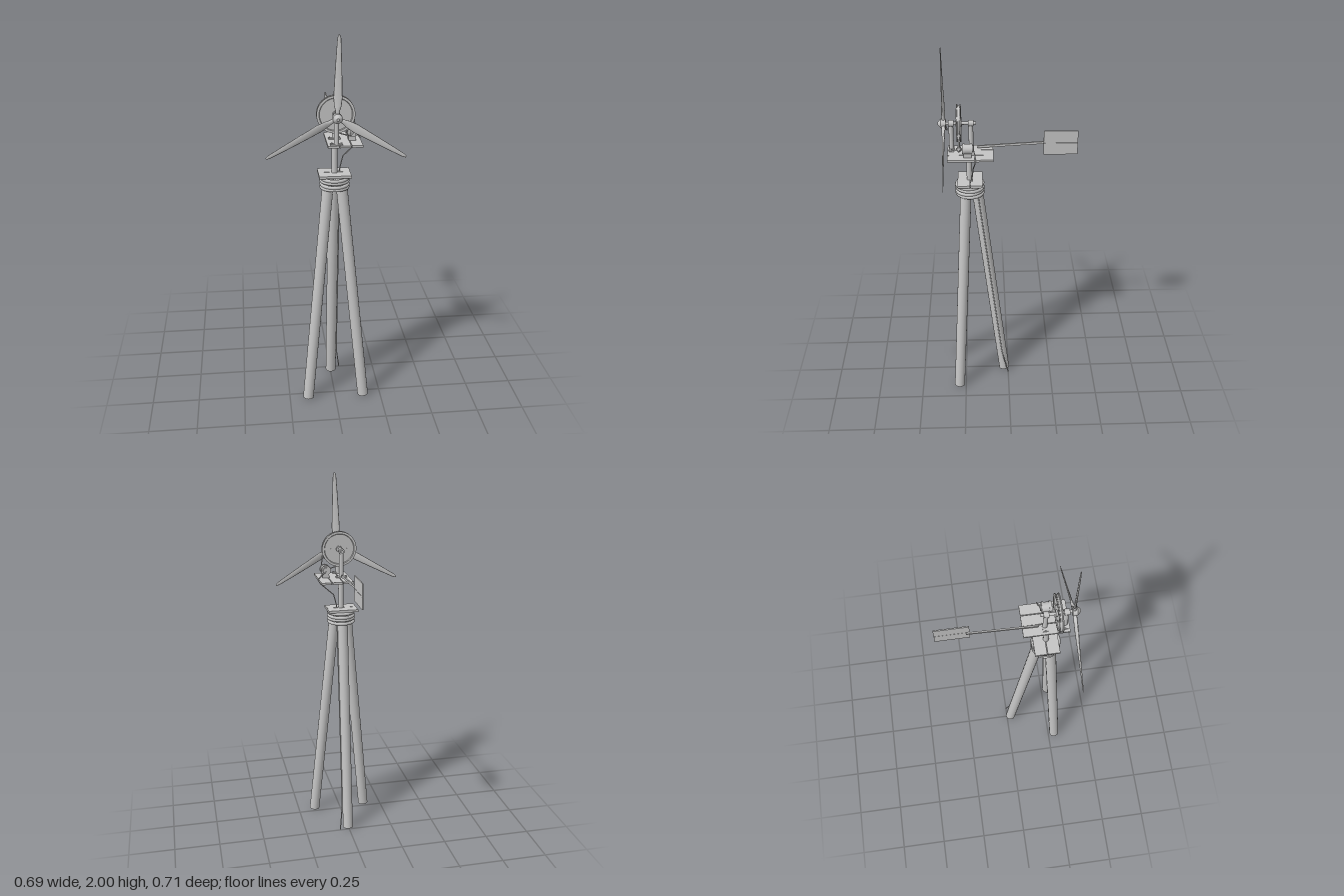
import * as THREE from 'three';

const V = (x, y, z) => new THREE.Vector3(x, y, z);
const CX = 0.003, AXLE = 1.605, MAST_Z = 0.2;

export function createModel() {
  const model = new THREE.Group();
  model.name = 'windTurbine';
  const grey = new THREE.MeshStandardMaterial({ color: 0xc4c4c4 });
  grey.name = 'lightGrey';

  const add = (name, geometry, x = 0, y = 0, z = 0, parent = model) => {
    const mesh = new THREE.Mesh(geometry, grey);
    mesh.name = name;
    mesh.position.set(x, y, z);
    parent.add(mesh);
    return mesh;
  };
  // Box given by its minimum and maximum on each axis
  const box = (name, x0, x1, y0, y1, z0, z1) =>
    add(name, new THREE.BoxGeometry(x1 - x0, y1 - y0, z1 - z0), (x0 + x1) / 2, (y0 + y1) / 2, (z0 + z1) / 2);
  // Cylinder between two points
  const rod = (name, a, b, r, sides = 16, rEnd = r) => {
    const d = b.clone().sub(a);
    const mesh = add(name, new THREE.CylinderGeometry(rEnd, r, d.length(), sides));
    mesh.position.copy(a).addScaledVector(d, 0.5);
    mesh.quaternion.setFromUnitVectors(V(0, 1, 0), d.normalize());
    return mesh;
  };
  // Cable through a few points
  const cable = (name, points) => {
    const path = new THREE.CurvePath();
    for (let i = 1; i < points.length; i++) path.add(new THREE.LineCurve3(points[i - 1], points[i]));
    return add(name, new THREE.TubeGeometry(path, 48, 0.003, 6));
  };

  // Tripod of poles, lashed together with rope
  rod('leftLeg', V(0.154, 0.004, 0.287), V(0.032, 1.275, 0.218), 0.029);
  rod('rightLeg', V(-0.149, 0.004, 0.287), V(-0.028, 1.275, 0.218), 0.029);
  rod('backLeg', V(CX, 0.003, 0.023), V(CX, 1.275, 0.167), 0.029);
  for (let i = 0; i < 4; i++) {
    const ring = add('ropeRing', new THREE.TorusGeometry(0.068, 0.009, 8, 28), CX, 1.213 + i * 0.017, MAST_Z);
    ring.rotation.x = Math.PI / 2 + (i % 2 ? 0.03 : -0.03);
  }

  // Lower deck of two planks and the mast
  box('lowerPlankBack', -0.08, 0.083, 1.275, 1.288, 0.133, 0.195);
  box('lowerPlankFront', -0.08, 0.083, 1.275, 1.288, 0.198, 0.262);
  rod('mast', V(CX, 1.285, MAST_Z), V(CX, 1.45, MAST_Z), 0.0145);
  rod('mastCollar', V(CX, 1.428, MAST_Z), V(CX, 1.451, MAST_Z), 0.021);

  // Upper deck of three planks
  for (const x of [-0.041, 0.018, 0.077]) box('upperPlank', x, x + 0.055, 1.45, 1.461, 0.075, 0.308);

  // Shaft on two bearing posts
  rod('shaft', V(CX, AXLE, 0.16), V(CX, AXLE, 0.32), 0.008, 14);
  for (const z of [0.187, 0.287]) {
    box('postFoot', CX - 0.03, CX + 0.03, 1.461, 1.467, z - 0.013, z + 0.013);
    rod('bearingPost', V(CX, 1.461, z), V(CX, AXLE, z), 0.012);
    rod('bearing', V(CX, AXLE, z - 0.0135), V(CX, AXLE, z + 0.0135), 0.016);
    for (const s of [-1, 1]) rod('footBolt', V(CX + s * 0.024, 1.466, z), V(CX + s * 0.024, 1.472, z), 0.004, 6);
  }

  // Grooved drive wheel
  const wheelProfile = [[0, -0.006], [0.08, -0.006], [0.083, -0.011], [0.095, -0.011], [0.095, -0.006], [0.087, -0.004],
    [0.087, 0.004], [0.095, 0.006], [0.095, 0.011], [0.083, 0.011], [0.08, 0.006], [0, 0.006]]
    .map(([r, h]) => new THREE.Vector2(r, h));
  const wheelGeometry = new THREE.LatheGeometry(wheelProfile, 48).toNonIndexed();
  wheelGeometry.computeVertexNormals();
  add('driveWheel', wheelGeometry, CX, AXLE, 0.247).rotation.x = Math.PI / 2;
  rod('wheelHub', V(CX, AXLE, 0.232), V(CX, AXLE, 0.262), 0.017);
  for (let i = 0; i < 6; i++) {
    const a = i * Math.PI / 3, x = CX + 0.045 * Math.cos(a), y = AXLE + 0.045 * Math.sin(a);
    rod('wheelBolt', V(x, y, 0.239), V(x, y, 0.255), 0.004, 8);
  }

  // Generator with its pulley, feet and cooling bands
  const GX = 0.088, GY = 1.503;
  rod('generator', V(GX, GY, 0.18), V(GX, GY, 0.232), 0.024, 20);
  for (const z of [0.187, 0.224]) rod('generatorBand', V(GX, GY, z - 0.005), V(GX, GY, z + 0.005), 0.027, 20);
  rod('generatorCap', V(GX, GY, 0.174), V(GX, GY, 0.181), 0.017, 20);
  rod('generatorShaft', V(GX, GY, 0.23), V(GX, GY, 0.262), 0.005, 10);
  rod('generatorPulley', V(GX, GY, 0.238), V(GX, GY, 0.256), 0.012, 18);
  box('generatorMount', GX - 0.018, GX + 0.018, 1.461, 1.484, 0.185, 0.226);

  // Drive belt: outer tangents around wheel and pulley
  const dx = GX - CX, dy = GY - AXLE, theta = Math.atan2(dy, dx);
  const outline = (R, r) => {
    const a = Math.acos((R - r) / Math.hypot(dx, dy));
    const path = new THREE.Shape();
    path.absarc(0, 0, R, theta + a, theta + 2 * Math.PI - a, false);
    path.absarc(dx, dy, r, theta - a, theta + a, false);
    path.closePath();
    return path;
  };
  const belt = outline(0.091, 0.016);
  belt.holes.push(outline(0.087, 0.012));
  add('driveBelt', new THREE.ExtrudeGeometry(belt, { depth: 0.008, bevelEnabled: false, curveSegments: 24 }), CX, AXLE, 0.243);

  // Rotor: hub, nose cone and three twisted blades
  const RZ = 0.323;
  rod('rotorHub', V(CX, AXLE, 0.312), V(CX, AXLE, 0.336), 0.024, 16);
  rod('noseCone', V(CX, AXLE, 0.336), V(CX, AXLE, 0.353), 0.024, 16, 0.007);
  // Stations: radius, chord, thickness, twist
  const stations = [[0.01, 0.02, 0.018, 0.3], [0.04, 0.024, 0.018, 0.32], [0.06, 0.036, 0.014, 0.34], [0.1, 0.044, 0.011, 0.28],
    [0.2, 0.036, 0.008, 0.17], [0.3, 0.027, 0.006, 0.1], [0.38, 0.018, 0.004, 0.06], [0.396, 0.009, 0.002, 0.05]];
  const N = 12, positions = [], index = [];
  stations.forEach(([r, chord, thick, twist], s) => {
    for (let i = 0; i < N; i++) {
      const a = i / N * 2 * Math.PI, u = Math.cos(a) * chord / 2, w = Math.sin(a) * thick / 2;
      positions.push(u * Math.cos(twist) - w * Math.sin(twist), r, u * Math.sin(twist) + w * Math.cos(twist));
      const j = (i + 1) % N, p = s * N;
      if (s) index.push(p - N + i, p + i, p + j, p - N + i, p + j, p - N + j);
    }
  });
  const last = (stations.length - 1) * N;
  for (let i = 1; i < N - 1; i++) index.push(0, i, i + 1, last, last + i + 1, last + i);
  const bladeGeometry = new THREE.BufferGeometry();
  bladeGeometry.setAttribute('position', new THREE.Float32BufferAttribute(positions, 3));
  bladeGeometry.setIndex(index);
  bladeGeometry.computeVertexNormals();
  for (let k = 0; k < 3; k++) {
    const blade = add('blade', bladeGeometry, CX, AXLE, RZ);
    blade.rotation.z = -0.018 + k * 2 * Math.PI / 3;
  }

  // Tail boom and two-board vane
  const boom = box('tailBoom', 0, 0.008, 1.478, 1.49, -0.2, 0.155);
  boom.rotation.x = 0.055;
  box('upperVane', 0.009, 0.015, 1.495, 1.56, -0.357, -0.182);
  box('lowerVane', 0.009, 0.015, 1.429, 1.493, -0.357, -0.182);

  // Cable from the generator, down the mast and along the back leg
  cable('powerCable', [V(GX, 1.497, 0.176), V(0.108, 1.488, 0.169), V(0.141, 1.452, 0.166), V(0.046, 1.366, 0.18),
    V(0.025, 1.28, 0.19), V(0.034, 1.2, 0.157), V(0.034, 0.14, 0.036), V(0.053, 0.004, 0.001)]);

  return model;
}
